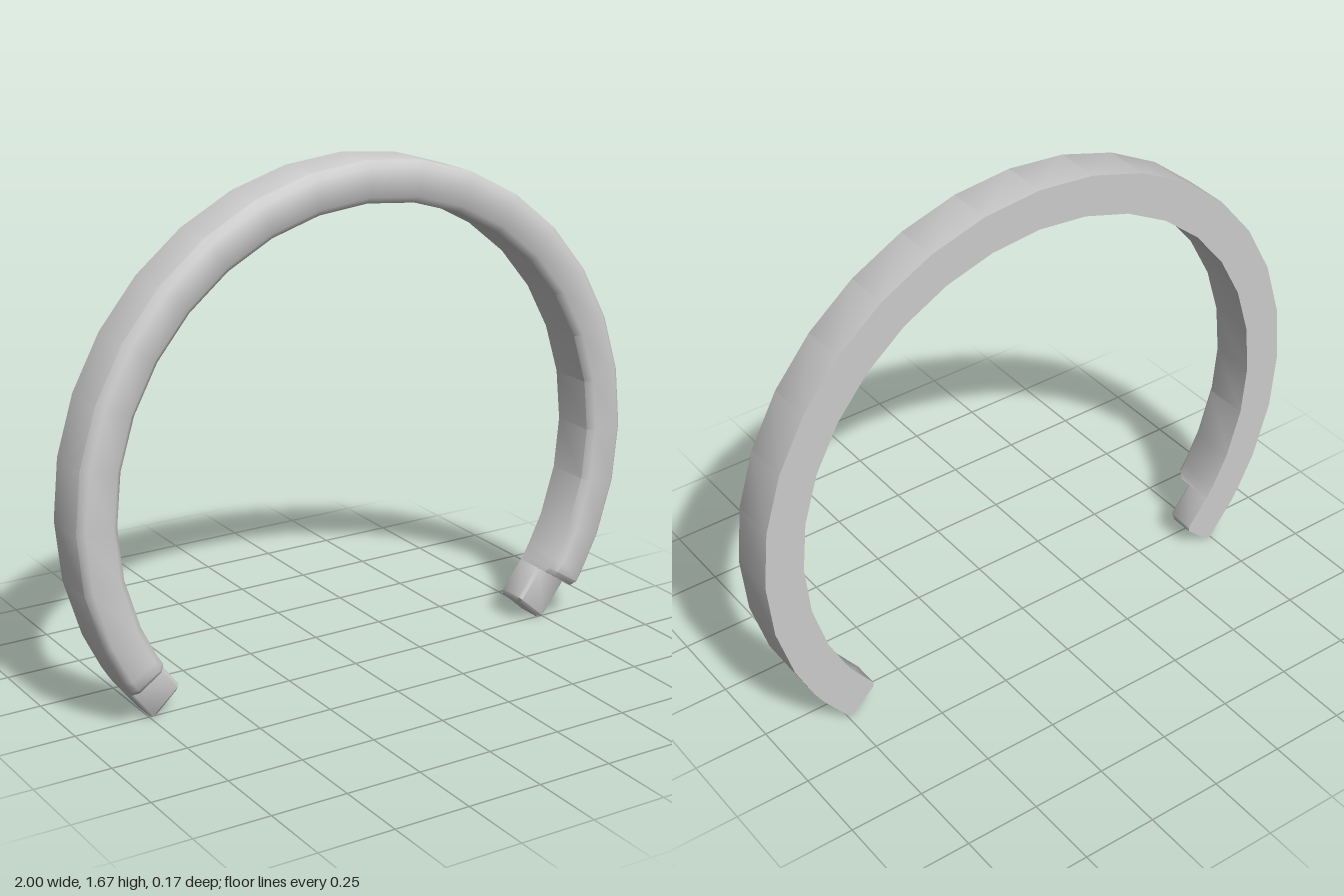
import * as THREE from 'three';
import { toCreasedNormals } from 'three/addons/utils/BufferGeometryUtils.js';

const CENTRE_Y = 0.665;
const STEP = 11.25; // degrees per segment, 32 to the full circle
const R_IN = 0.867, Z_BACK = -0.086, Z_MID = 0.014, Z_FRONT = 0.087;

// Cross-section as [radius, z]: square at the back, chamfered at the front
function section(zFront, chamfer, inset = 0) {
  const ro = 1 - inset, ri = R_IN + inset, z = zFront - inset;
  return [
    [ro, Z_BACK], [ro, z - chamfer], [ro - chamfer, z],
    [ri + chamfer, z], [ri, z - chamfer], [ri, Z_BACK],
  ];
}

// Sweeps sections round the z axis; stations are { angle, points }, angles rising
function sweep(stations) {
  const n = stations[0].points.length;
  const positions = [], index = [];
  for (const { angle, points } of stations) {
    const a = THREE.MathUtils.degToRad(angle);
    for (const [r, z] of points) positions.push(r * Math.cos(a), r * Math.sin(a), z);
  }
  for (let i = 0; i < stations.length - 1; i++) {
    for (let j = 0; j < n; j++) {
      const k = (j + 1) % n;
      const a = i * n + j, b = a + n, c = (i + 1) * n + k, d = i * n + k;
      index.push(a, b, c, a, c, d);
    }
  }
  const last = (stations.length - 1) * n;
  for (let j = 1; j < n - 1; j++) {
    index.push(0, j, j + 1, last, last + j + 1, last + j);
  }
  const geometry = new THREE.BufferGeometry();
  geometry.setAttribute('position', new THREE.Float32BufferAttribute(positions, 3));
  geometry.setIndex(index);
  return toCreasedNormals(geometry, 0.8);
}

export function createModel() {
  const group = new THREE.Group();
  const material = new THREE.MeshStandardMaterial({ color: 0xcccccc });
  const add = (name, geometry) => {
    const mesh = new THREE.Mesh(geometry, material);
    mesh.name = name;
    mesh.position.y = CENTRE_Y;
    group.add(mesh);
  };

  // Open band, with its front edge eased down at both ends
  const start = 90 - 11 * STEP, end = 90 + 11 * STEP;
  const full = section(Z_FRONT, 0.021);
  const eased = section(Z_FRONT - 0.018, 0.021);
  const band = [{ angle: start, points: eased }];
  for (const offset of [1.2, 3.5]) band.push({ angle: start + offset, points: full });
  for (let i = 1; i < 22; i++) band.push({ angle: start + i * STEP, points: full });
  for (const offset of [3.5, 1.2]) band.push({ angle: end - offset, points: full });
  band.push({ angle: end, points: eased });
  add('band', sweep(band));

  // Thinner tongues that continue the back half of the band
  const tongue = section(Z_MID, 0.01);
  const tip = section(Z_MID, 0.01, 0.012);
  add('leftTongue', sweep([
    { angle: -42.4, points: tip },
    { angle: -41.6, points: tongue },
    { angle: start, points: tongue },
  ]));
  add('rightTongue', sweep([
    { angle: end, points: tongue },
    { angle: 221.6, points: tongue },
    { angle: 222.4, points: tip },
  ]));

  return group;
}
